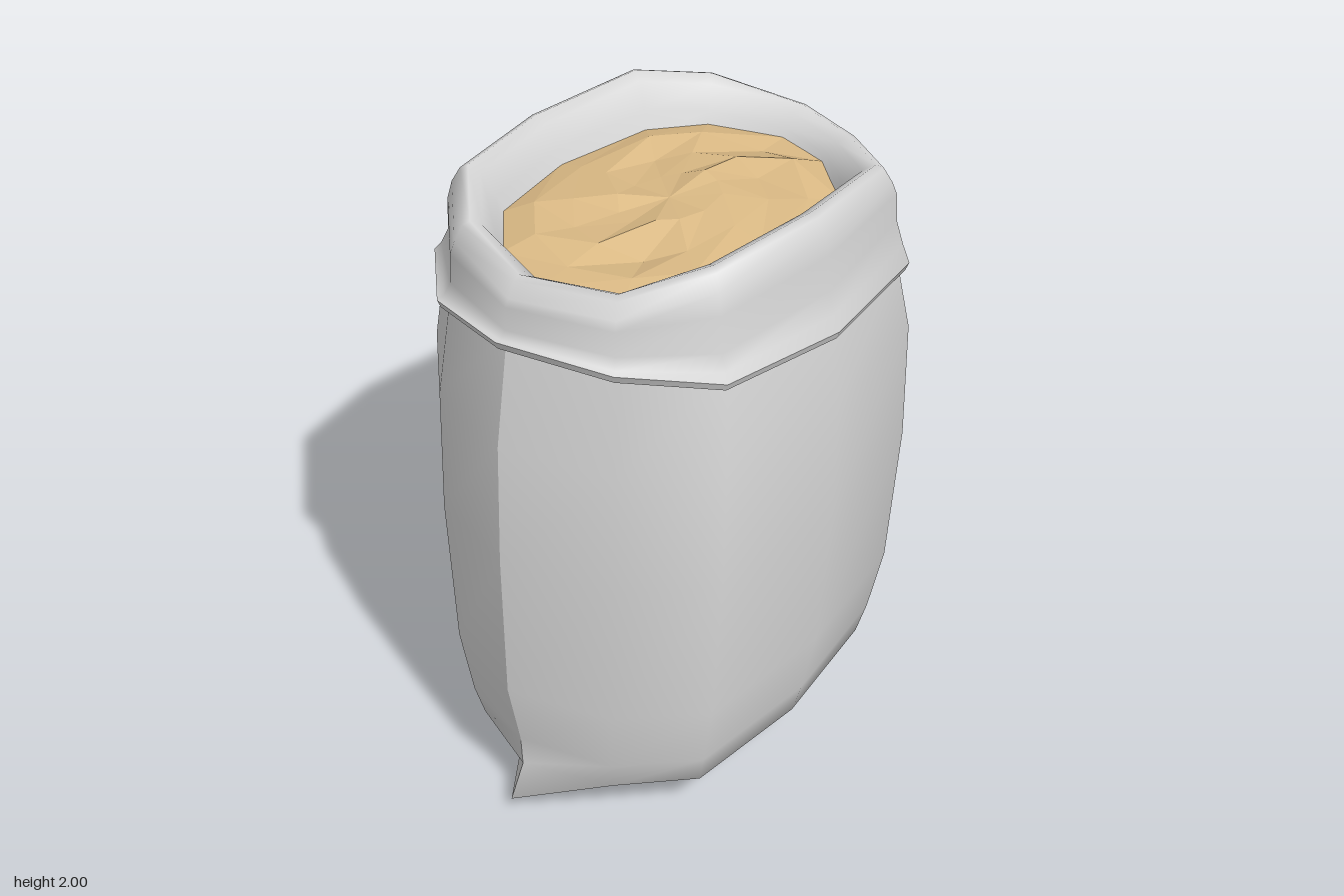
import * as THREE from 'three';

const SIDES = 12;
// slightly lopsided unit outline [x, z], starting at +x and turning towards +z
const OUTLINE = [
  [1, 0], [0.91, 0.43], [0.63, 0.87], [0, 1], [-0.61, 0.93], [-0.88, 0.56],
  [-1, 0], [-0.88, 0.5], [-0.58, 0.87], [0, -1], [0.59, -0.87], [0.865, -0.56],
].map(([x, z], i) => [x, i > 6 ? -Math.abs(z) : z]);
// heights around the sack, in the same order
const RIM = [1.91, 1.9, 1.95, 2.0, 2.0, 1.92, 1.91, 1.95, 1.98, 1.97, 1.99, 1.96];
const FOLD = [1.62, 1.6, 1.6, 1.625, 1.67, 1.705, 1.72, 1.69, 1.67, 1.655, 1.62, 1.6];

// ring of the sack: y is a number or a rule of the side; earX widens the seam points
function ring(rx, rz, y, earX = rx) {
  return (side) => {
    const i = side % SIDES;
    const [x, z] = OUTLINE[i];
    const r = i % 6 === 0 ? earX : rx;
    return [x * r, typeof y === 'function' ? y(i) : y, z * rz];
  };
}

// skin between rings over sides from..to, upward rings face outward
function loft(rings, from = 0, to = SIDES, closed = true) {
  const pos = [], index = [];
  const n = to - from, w = closed ? n : n + 1;
  for (const r of rings) for (let i = 0; i < w; i++) pos.push(...r(from + i));
  for (let k = 0; k < rings.length - 1; k++) {
    for (let i = 0; i < n; i++) {
      const j = closed ? (i + 1) % n : i + 1;
      const a = k * w + i, b = k * w + j, c = a + w, d = b + w;
      index.push(a, c, b, b, c, d);
    }
  }
  const g = new THREE.BufferGeometry();
  g.setAttribute('position', new THREE.Float32BufferAttribute(pos, 3));
  g.setIndex(index);
  g.computeVertexNormals();
  return g;
}

export function createModel() {
  const group = new THREE.Group();
  const cloth = new THREE.MeshStandardMaterial({ color: 0xd7d7d7, side: THREE.DoubleSide });
  cloth.name = 'greyCloth';
  const grain = new THREE.MeshStandardMaterial({ color: 0xdbba85, flatShading: true });
  grain.name = 'tanFilling';
  const add = (name, geometry, material) => {
    const mesh = new THREE.Mesh(geometry, material);
    mesh.name = name;
    group.add(mesh);
  };

  // body in two halves, with a seam and pointed lower corners at each side
  const bottom = ring(0.6, 0.365, 0.05, 0.79);
  const body = [
    bottom,
    ring(0.715, 0.51, 0.16, 0.73),
    ring(0.745, 0.54, 0.27, 0.735),
    ring(0.775, 0.588, 0.5, 0.78),
    ring(0.782, 0.625, 1.0),
    ring(0.765, 0.625, 1.4),
    ring(0.705, 0.59, (i) => FOLD[i] + 0.03),
  ];
  add('bodyFront', loft(body, 0, 6, false), cloth);
  add('bodyBack', loft(body, 6, 12, false), cloth);

  // sagging base
  add('base', loft([ring(0, 0, 0), ring(0.35, 0.19, 0.02), bottom]), cloth);

  // turned-out hem of the rolled top
  const hemLow = ring(0.742, 0.605, (i) => FOLD[i]);
  const hemHigh = ring(0.752, 0.615, (i) => FOLD[i] + 0.025);
  add('hemUnderside', loft([ring(0.7, 0.585, (i) => FOLD[i] + 0.03), hemLow]), cloth);
  add('hemEdge', loft([hemLow, hemHigh]), cloth);

  // rolled cuff, from the hem over the wavy rim and down inside
  add('cuff', loft([
    hemHigh,
    ring(0.73, 0.595, (i) => FOLD[i] * 0.45 + 0.967),
    ring(0.712, 0.572, 1.765),
    ring(0.707, 0.567, (i) => RIM[i] * 0.5 + 0.88),
    ring(0.692, 0.553, (i) => RIM[i] - 0.055),
    ring(0.667, 0.528, (i) => RIM[i] - 0.01),
    ring(0.645, 0.505, (i) => RIM[i]),
    ring(0.61, 0.47, (i) => RIM[i] - 0.02),
    ring(0.57, 0.43, (i) => RIM[i] * 0.4 + 1.09),
    ring(0.54, 0.4, 1.8),
  ]), cloth);

  // uneven faceted filling
  let seed = 7;
  const rand = () => (seed = (seed * 16807) % 2147483647) / 2147483647;
  const fill = [[0.56, 0.42, 1.83], [0.45, 0.335, 1.85], [0.32, 0.24, 1.85], [0.17, 0.13, 1.865], [0, 0, 1.865]]
    .map(([rx, rz, y], k) => {
      const bump = Array.from({ length: SIDES }, () => (k % 4 ? (rand() - 0.5) * 0.045 : 0));
      return ring(rx, rz, (i) => y + bump[i]);
    });
  const fillGeometry = loft(fill).toNonIndexed();
  fillGeometry.computeVertexNormals();
  add('filling', fillGeometry, grain);

  return group;
}
